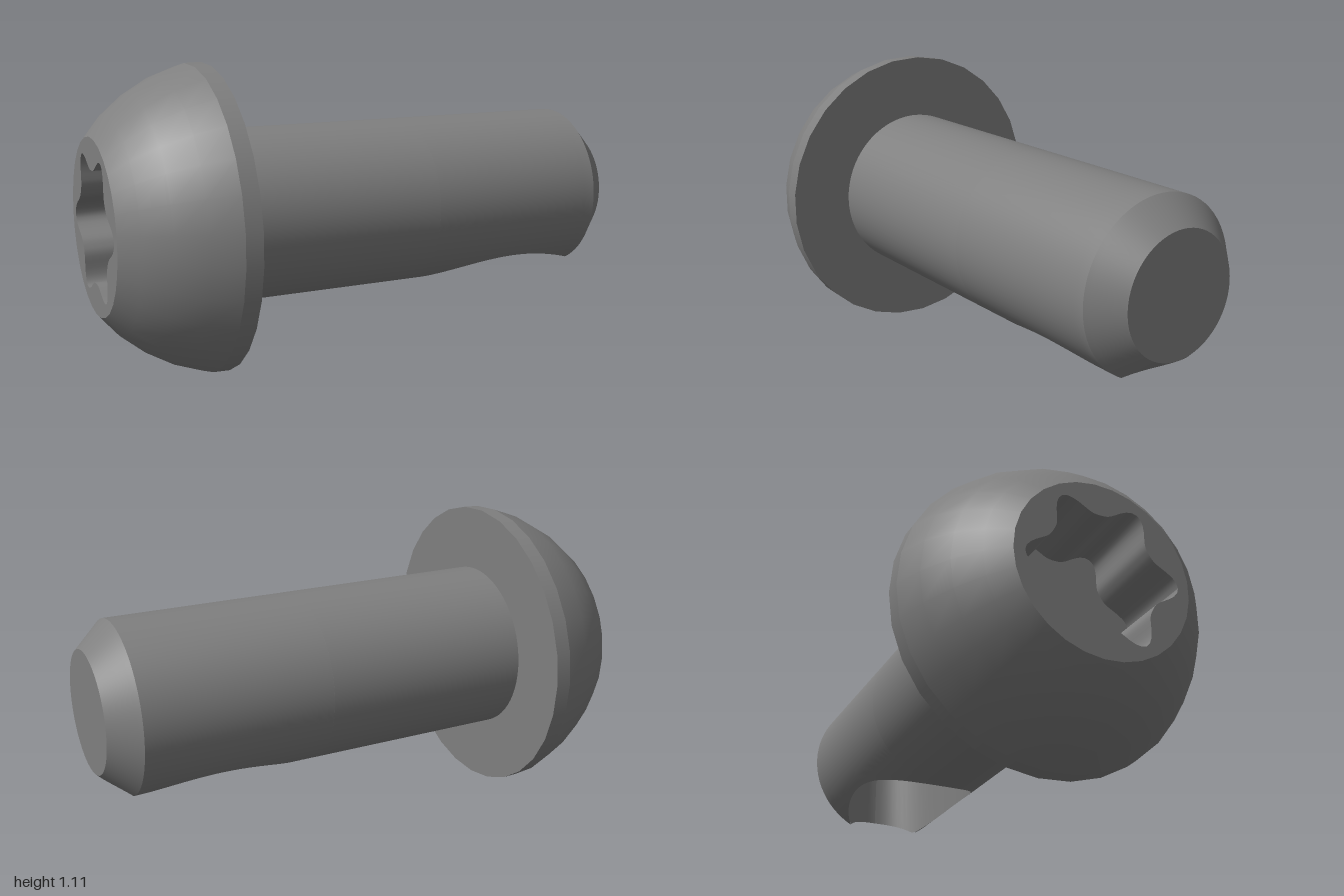
import * as THREE from 'three';

const AXIS = 0.555;                        // height of the bolt's axis
const R = 0.315, TIP_R = 0.222;            // shank and tip radii
const HEAD_SIDES = 29;
const SLOT = { x: 0.6, a: 0.398, b: 0.223, top: 0.58 };   // oval pocket under the shank

// Smooth surface from fn(u, v) -> [x, y, z]
function grid(nu, nv, fn) {
  const pos = [], idx = [];
  for (let i = 0; i <= nu; i++) {
    for (let j = 0; j <= nv; j++) {
      pos.push(...fn(i / nu, j / nv));
      if (i < nu && j < nv) {
        const a = i * (nv + 1) + j, b = a + nv + 1;
        idx.push(a, b, a + 1, b, b + 1, a + 1);
      }
    }
  }
  const g = new THREE.BufferGeometry();
  g.setAttribute('position', new THREE.Float32BufferAttribute(pos, 3));
  g.setIndex(idx);
  g.computeVertexNormals();
  return g;
}

const radiusAt = x => (x <= 0.9 ? R : R + (TIP_R - R) * (x - 0.9) / 0.1);
const slotHalfWidth = x => SLOT.b * Math.sqrt(Math.max(0, 1 - ((x - SLOT.x) / SLOT.a) ** 2));

// Shank skin between two x positions, left open where the pocket cuts it
function skin(xAt, steps) {
  return grid(steps, 64, (u, v) => {
    const x = xAt(u), r = radiusAt(x);
    const open = Math.asin(Math.min(1, slotHalfWidth(x) / r));
    const phi = open + v * 2 * (Math.PI - open);
    return [x, AXIS - r * Math.cos(phi), r * Math.sin(phi)];
  });
}

// Revolve an [x, radius] profile about the bolt's axis
function revolve(profile) {
  const g = new THREE.LatheGeometry(profile.map(([x, r]) => new THREE.Vector2(r, x)), HEAD_SIDES, Math.PI);
  return g.rotateZ(-Math.PI / 2).translate(0, AXIS, 0);
}

export function createModel() {
  const model = new THREE.Group();
  const steel = new THREE.MeshStandardMaterial({ color: 0x7f7f7f });
  steel.name = 'grey steel';
  const add = (name, geometry) => {
    const mesh = new THREE.Mesh(geometry, steel);
    mesh.name = name;
    model.add(mesh);
  };

  // Domed head and its flat underside
  add('headDome', revolve([[-1, 0.315], [-0.94, 0.387], [-0.855, 0.457], [-0.755, 0.515], [-0.65, 0.553]]));
  add('headRim', revolve([[-0.65, 0.553], [-0.59, 0.555]]));
  add('headUnderside', revolve([[-0.59, 0.555], [-0.59, 0.3]]));

  // Six-lobed drive socket
  const lobe = t => 0.2 + 0.075 * ((1 + Math.cos(6 * t)) / 2) ** 1.5;
  const N = 96, depth = 0.3;
  const outline = Array.from({ length: N }, (_, i) => {
    const t = i / N * Math.PI * 2;
    return new THREE.Vector2(lobe(t) * Math.cos(t), lobe(t) * Math.sin(t));
  });
  const face = new THREE.Shape(Array.from({ length: HEAD_SIDES }, (_, i) => {
    const t = Math.PI + i / HEAD_SIDES * Math.PI * 2;
    return new THREE.Vector2(0.315 * Math.cos(t), 0.315 * Math.sin(t));
  }));
  face.holes.push(new THREE.Path(outline));
  add('headFace', new THREE.ShapeGeometry(face).rotateY(-Math.PI / 2).translate(-1, AXIS, 0));
  add('socketWall', grid(N, 1, (u, v) => {
    const t = u * Math.PI * 2;
    return [-1 + depth * v, AXIS + lobe(t) * Math.sin(t), lobe(t) * Math.cos(t)];
  }));
  add('socketFloor', new THREE.ShapeGeometry(new THREE.Shape(outline))
    .rotateY(-Math.PI / 2).translate(-1 + depth, AXIS, 0));

  // Shank, chamfer and tip
  const start = SLOT.x - SLOT.a;
  add('shank', skin(u => -0.59 + (start + 0.59) * u, 1));
  add('slottedShank', skin(u => start + (0.9 - start) * u * u, 32));
  add('chamfer', skin(u => 0.9 + 0.1 * (1 - (1 - u) ** 2), 12));
  add('tip', new THREE.CircleGeometry(TIP_R, 64).rotateY(Math.PI / 2).translate(1, AXIS, 0));

  // Oval pocket: upright wall and flat floor
  add('pocketWall', grid(72, 1, (u, v) => {
    const t = u * Math.PI * 2;
    const x = SLOT.x + SLOT.a * Math.cos(t), z = SLOT.b * Math.sin(t);
    const rim = AXIS - Math.sqrt(Math.max(0, radiusAt(x) ** 2 - z * z));
    return [x, rim + (SLOT.top - rim) * v, z];
  }));
  add('pocketFloor', new THREE.CircleGeometry(1, 72).rotateX(Math.PI / 2)
    .scale(SLOT.a, 1, SLOT.b).translate(SLOT.x, SLOT.top, 0));

  return model;
}
